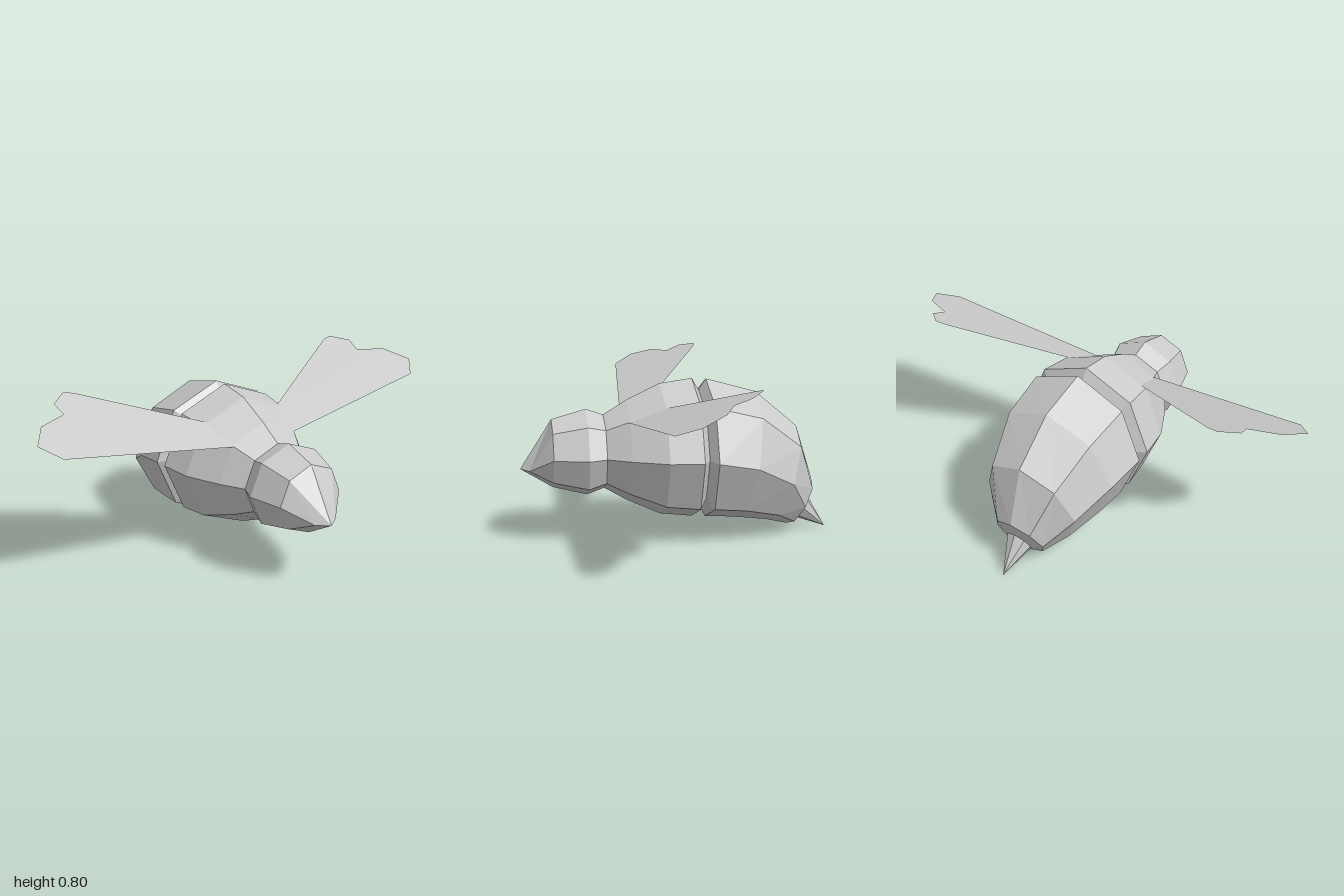
import * as THREE from 'three';

const SIDES = 8;
const bodyMat = new THREE.MeshStandardMaterial({ color: 0xcccccc, flatShading: true });
const wingMat = new THREE.MeshStandardMaterial({ color: 0xcccccc, flatShading: true, side: THREE.DoubleSide });

// Octagonal ring with a corner on top; tilt leans its top backwards (-z)
function ring(z, y, r, tilt = 0) {
  return Array.from({ length: SIDES }, (_, i) => {
    const a = (i / SIDES) * Math.PI * 2;
    const up = r * Math.cos(a);
    return [r * Math.sin(a), y + up * Math.cos(tilt), z - up * Math.sin(tilt)];
  });
}

// Skin over rings listed from front to back
function loft(name, rings) {
  const pos = rings.flat(2);
  const idx = [];
  for (let j = 0; j < rings.length - 1; j++) {
    for (let i = 0; i < SIDES; i++) {
      const n = (i + 1) % SIDES;
      const a = j * SIDES + i, b = j * SIDES + n;
      const c = b + SIDES, d = a + SIDES;
      idx.push(a, b, d, b, c, d);
    }
  }
  const geo = new THREE.BufferGeometry();
  geo.setAttribute('position', new THREE.Float32BufferAttribute(pos, 3));
  geo.setIndex(idx);
  const flat = geo.toNonIndexed();
  flat.computeVertexNormals();
  const mesh = new THREE.Mesh(flat, bodyMat);
  mesh.name = name;
  return mesh;
}

// Wing outline in plan (x, z), leaning up outwards and backwards
const WING = [
  [0.14, 0.13], [0.16, 0.245], [0.93, 0.17], [1, 0.08], [0.93, -0.03], [0.8, -0.085],
  [0.81, -0.155], [0.735, -0.22], [0.69, -0.21], [0.2, 0.07],
];

function wing(name, side) {
  const shape = new THREE.Shape(WING.map(([x, z]) => new THREE.Vector2(side * x, -z)));
  const geo = new THREE.ShapeGeometry(shape);
  const p = geo.attributes.position;
  for (let i = 0; i < p.count; i++) {
    const x = p.getX(i), z = -p.getY(i);
    p.setXYZ(i, x, 0.65 + 0.096 * Math.abs(x) - 0.375 * z, z);
  }
  geo.computeVertexNormals();
  const mesh = new THREE.Mesh(geo, wingMat);
  mesh.name = name;
  return mesh;
}

export function createModel() {
  const model = new THREE.Group();
  model.name = 'flyingInsect';

  // Head, pinched shut into a flat mouth edge
  const mouth = ring(0, 0, 1).map(([x]) =>
    Math.abs(x) < 0.01 ? [0, 0.345, 0.72] : [Math.sign(x) * 0.055, 0.345, 0.68]);
  model.add(loft('head', [
    mouth, ring(0.575, 0.412, 0.158), ring(0.42, 0.412, 0.2), ring(0.34, 0.412, 0.172),
  ]));

  // Thorax, ending in the waist groove
  model.add(loft('thorax', [
    ring(0.34, 0.412, 0.172), ring(0.235, 0.412, 0.235), ring(0.08, 0.412, 0.308),
    ring(-0.07, 0.412, 0.328), ring(-0.102, 0.412, 0.272),
  ]));

  // Abdomen, curling downwards to a small rear plate
  model.add(loft('abdomen', [
    ring(-0.102, 0.412, 0.272), ring(-0.135, 0.408, 0.328), ring(-0.32, 0.37, 0.304, 0.165),
    ring(-0.5, 0.275, 0.236, 0.3), ring(-0.59, 0.135, 0.125, 0.5),
    ring(-0.6, 0.115, 0.066, 0.46), ring(-0.6, 0.115, 0, 0),
  ]));

  // Stinger
  const tip = Array.from({ length: SIDES }, () => [0, 0.003, -0.722]);
  model.add(loft('stinger', [ring(-0.598, 0.113, 0.064, 0.46), tip]));

  model.add(wing('leftWing', 1), wing('rightWing', -1));
  return model;
}
